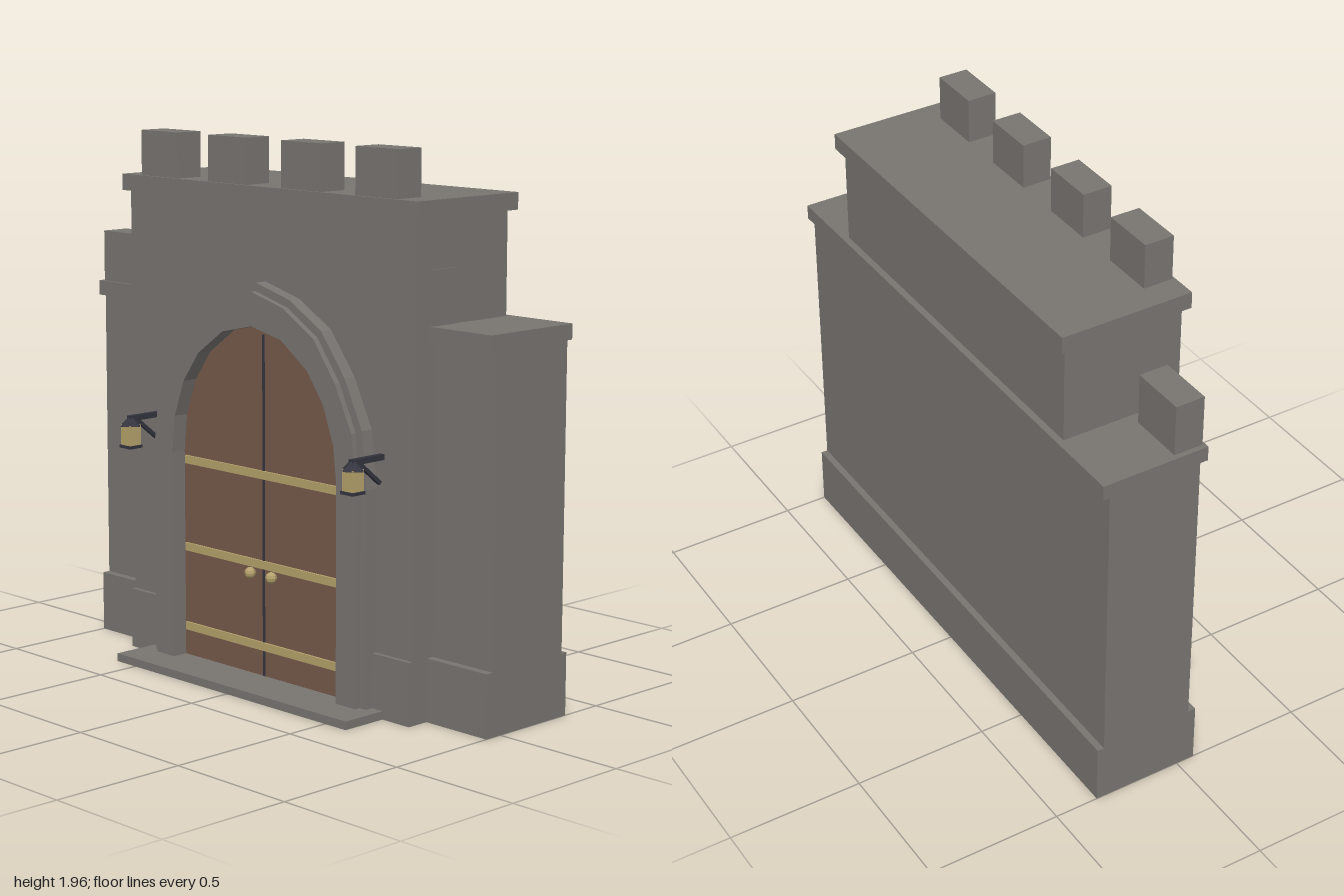
import * as THREE from 'three';

const mat = (name, color) => {
  const m = new THREE.MeshStandardMaterial({ color });
  m.name = name;
  return m;
};

export function createModel() {
  const stone = mat('stone', 0x787470);
  const wood = mat('wood', 0x75584a);
  const brass = mat('brass', 0xb5a26c);
  const iron = mat('dark iron', 0x33343f);

  const gate = new THREE.Group();
  gate.name = 'castleGate';

  const add = (name, geometry, material, parent = gate) => {
    const mesh = new THREE.Mesh(geometry, material);
    mesh.name = name;
    parent.add(mesh);
    return mesh;
  };
  // Box given by its limits on each axis
  const box = (name, [x0, x1], [y0, y1], [z0, z1], material = stone, parent = gate) => {
    const mesh = add(name, new THREE.BoxGeometry(x1 - x0, y1 - y0, z1 - z0), material, parent);
    mesh.position.set((x0 + x1) / 2, (y0 + y1) / 2, (z0 + z1) / 2);
    return mesh;
  };

  // Side wall with plinth and coping
  box('wallPlinth', [-1, 1], [0, 0.225], [-0.335, 0.07]);
  box('wall', [-1, 1], [0.225, 1.31], [-0.31, 0.04]);
  box('wallCoping', [-1, 1], [1.31, 1.365], [-0.335, 0.07]);
  box('wallMerlonRight', [-0.98, -0.77], [1.365, 1.555], [-0.05, 0.06]);
  box('wallMerlonLeft', [0.52, 0.73], [1.365, 1.555], [-0.05, 0.06]);

  // Gatehouse
  box('gatehouseFront', [-0.725, 0.725], [0, 1.365], [0, 0.14]);
  box('gatehouseTop', [-0.725, 0.725], [1.365, 1.73], [-0.31, 0.14]);
  box('gatehouseCoping', [-0.75, 0.75], [1.73, 1.79], [-0.335, 0.16]);
  for (const x of [-0.551, -0.188, 0.188, 0.551])
    box('merlon', [x - 0.1, x + 0.1], [1.79, 1.955], [0.04, 0.15]);
  box('plinthRight', [-0.725, -0.5], [0, 0.225], [0.1, 0.157]);
  box('plinthLeft', [0.5, 0.725], [0, 0.225], [0.1, 0.157]);
  box('doorstep', [-0.6, 0.6], [0, 0.03], [0.14, 0.335]);

  // Arch profiles: half outlines from the foot to the apex
  const outer = [[0.55, 0], [0.55, 0.8], [0.525, 1.0], [0.442, 1.17], [0.328, 1.32], [0.17, 1.412], [0, 1.457]];
  const middle = [[0.52, 0], [0.52, 0.8], [0.496, 0.99], [0.417, 1.152], [0.31, 1.295], [0.162, 1.384], [0, 1.427]];
  const inner = [[0.425, 0], [0.425, 0.8], [0.41, 0.935], [0.36, 1.07], [0.28, 1.18], [0.15, 1.272], [0, 1.305]];
  const whole = (half) => [...half, ...half.slice(0, -1).reverse().map(([x, y]) => [-x, y])];
  const extrude = (points, z0, z1) => {
    const shape = new THREE.Shape(points.map(([x, y]) => new THREE.Vector2(x, y)));
    return new THREE.ExtrudeGeometry(shape, { depth: z1 - z0, bevelEnabled: false }).translate(0, 0, z0);
  };
  const ring = (a, b, z0, z1) => extrude([...whole(a), ...whole(b).reverse()], z0, z1);
  add('outerArch', ring(outer, middle, 0.13, 0.188), stone);
  add('innerArch', ring(middle, inner, 0.13, 0.21), stone);

  // Double door with seam, straps and knobs
  add('door', extrude(whole(inner), 0.12, 0.15), wood);
  box('doorSeam', [-0.005, 0.005], [0.03, 1.27], [0.149, 0.153], iron);
  for (const y of [0.14, 0.44, 0.767])
    box('doorStrap', [-0.415, 0.415], [y - 0.015, y + 0.015], [0.149, 0.158], brass);
  for (const x of [-0.055, 0.055]) {
    const knobGeometry = new THREE.SphereGeometry(0.021, 8, 6).toNonIndexed();
    knobGeometry.computeVertexNormals();
    add('doorKnob', knobGeometry, brass).position.set(x, 0.405, 0.168);
  }

  // Hanging lanterns on brackets
  for (const side of [-1, 1]) {
    const lantern = new THREE.Group();
    lantern.name = side < 0 ? 'lanternRight' : 'lanternLeft';
    lantern.position.x = side * 0.575;
    gate.add(lantern);
    box('bracketArm', [-0.01, 0.01], [0.903, 0.923], [0.14, 0.29], iron, lantern);
    const brace = box('bracketBrace', [-0.007, 0.007], [0.858, 0.872], [0.138, 0.268], iron, lantern);
    brace.rotation.x = -0.68;
    box('lanternGlass', [-0.026, 0.026], [0.815, 0.89], [0.254, 0.306], brass, lantern);
    box('lanternBase', [-0.03, 0.03], [0.804, 0.815], [0.25, 0.31], iron, lantern);
    const roofGeometry = new THREE.ConeGeometry(0.05, 0.04, 4).toNonIndexed();
    roofGeometry.computeVertexNormals();
    add('lanternRoof', roofGeometry, iron, lantern).position.set(0, 0.906, 0.28);
  }

  return gate;
}
